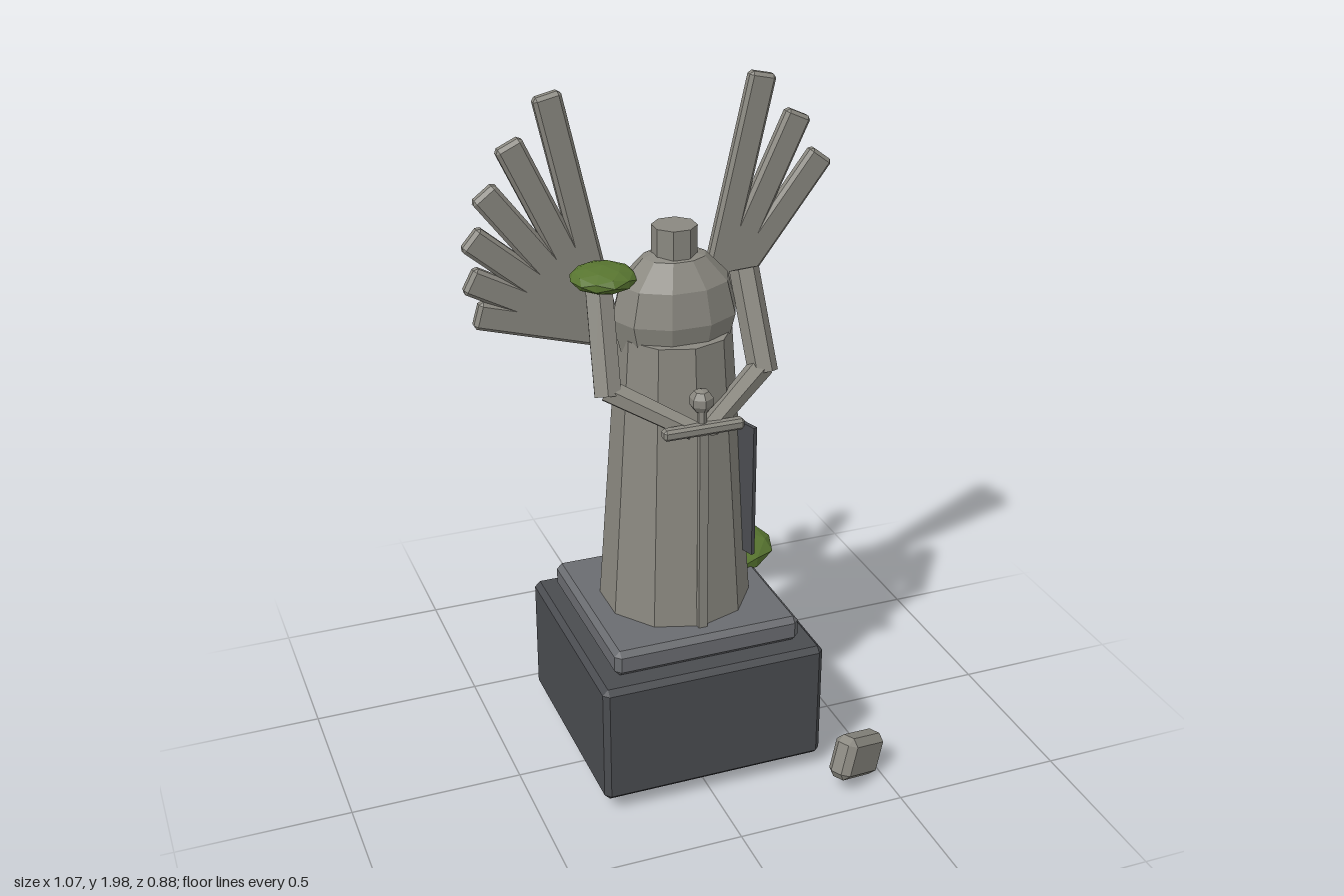
import * as THREE from 'three';
import { ConvexGeometry } from 'three/addons/geometries/ConvexGeometry.js';

const CX = 0.014, CZ = -0.065; // axis of the statue

const mat = (color) => new THREE.MeshStandardMaterial({ color, flatShading: true });
const stone = mat(0x8a8880), plinthStone = mat(0x6a6c70), darkStone = mat(0x4a4c50), mossGreen = mat(0x587530);

// Box with chamfered edges and corners
function chamferBox(w, h, d, c) {
  const pts = [];
  for (const x of [-1, 1]) for (const y of [-1, 1]) for (const z of [-1, 1]) {
    const X = w / 2, Y = h / 2, Z = d / 2;
    pts.push(new THREE.Vector3(x * X, y * (Y - c), z * (Z - c)));
    pts.push(new THREE.Vector3(x * (X - c), y * Y, z * (Z - c)));
    pts.push(new THREE.Vector3(x * (X - c), y * (Y - c), z * Z));
  }
  return new ConvexGeometry(pts);
}

export function createModel() {
  const group = new THREE.Group();

  function add(name, geometry, material, x, y, z, parent = group) {
    const mesh = new THREE.Mesh(geometry, material);
    mesh.name = name;
    mesh.position.set(x, y, z);
    parent.add(mesh);
    return mesh;
  }

  // Six-sided limb between two points
  function limb(name, a, b, r0, r1) {
    const from = new THREE.Vector3(...a), to = new THREE.Vector3(...b);
    const dir = to.clone().sub(from);
    const mid = from.clone().add(to).multiplyScalar(0.5);
    const mesh = add(name, new THREE.CylinderGeometry(r1, r0, dir.length(), 6), stone, mid.x, mid.y, mid.z);
    mesh.quaternion.setFromUnitVectors(new THREE.Vector3(0, 1, 0), dir.normalize());
  }

  // Pedestal
  add('pedestal', chamferBox(0.67, 0.37, 0.67, 0.016), darkStone, CX, 0.23, CZ);
  add('plinth', chamferBox(0.56, 0.078, 0.56, 0.016), plinthStone, CX, 0.457, CZ);

  // Robe, torso and broken neck
  add('robe', new THREE.CylinderGeometry(0.16, 0.22, 0.835, 10), stone, CX, 0.9125, CZ);
  const torso = add('torso', new THREE.SphereGeometry(1, 10, 6), stone, CX, 1.38, CZ);
  torso.scale.set(0.182, 0.19, 0.14);
  const neck = add('neck', new THREE.CylinderGeometry(0.063, 0.063, 0.1, 8), stone, CX, 1.58, CZ);
  neck.rotation.y = Math.PI / 8;

  // Arms folded toward the sword
  for (const [side, s] of [['left', 1], ['right', -1]]) {
    const elbow = [CX + s * 0.228, 1.2, 0.03];
    limb(side + 'UpperArm', [CX + s * 0.212, 1.47, -0.08], elbow, 0.042, 0.042);
    limb(side + 'Forearm', [CX + s * 0.228, 1.215, 0.02], [CX + s * 0.022, 1.11, 0.138], 0.035, 0.03);
  }

  // Sword standing point down
  const sword = new THREE.Group();
  sword.name = 'sword';
  sword.position.set(CX, 0, 0.155);
  group.add(sword);
  add('blade', new THREE.BoxGeometry(0.026, 0.62, 0.018), stone, 0, 0.805, 0, sword);
  add('guard', chamferBox(0.235, 0.032, 0.034, 0.008), stone, 0, 1.12, 0, sword);
  add('grip', new THREE.CylinderGeometry(0.014, 0.014, 0.08, 6), stone, 0, 1.155, -0.01, sword);
  add('pommel', new THREE.SphereGeometry(0.035, 6, 5), stone, 0, 1.197, -0.016, sword).rotation.y = Math.PI / 6;

  // Wings: feathers fanned from a root; the left wing has lost its lower ones
  const lengths = [0.715, 0.635, 0.565, 0.505, 0.445, 0.39];
  for (const [side, s, count] of [['left', 1, 3], ['right', -1, 6]]) {
    const wing = new THREE.Group();
    wing.name = side + 'Wing';
    wing.position.set(CX + s * 0.15, 1.285, -0.2);
    group.add(wing);
    for (let i = 0; i < count; i++) {
      const geo = chamferBox(0.08, lengths[i] + 0.025, 0.037, 0.01);
      geo.translate(0, lengths[i] / 2 - 0.0125, 0);
      add('feather', geo, stone, 0, 0, 0, wing).rotation.z = -s * THREE.MathUtils.degToRad(12.8 + 12.2 * i);
    }
  }

  // Crack on the robe's left side
  add('crack', new THREE.BoxGeometry(0.012, 0.405, 0.085), darkStone, 0.193, 0.848, 0.028).rotation.y = 0.3;

  // Moss patches
  const mossShape = new THREE.IcosahedronGeometry(1, 1);
  add('shoulderMoss', mossShape, mossGreen, -0.183, 1.498, -0.085).scale.set(0.093, 0.035, 0.097);
  add('plinthMoss', mossShape, mossGreen, 0.2, 0.5, -0.26).scale.set(0.203, 0.048, 0.178);

  // Fallen fragment on the ground
  add('rubble', chamferBox(0.18, 0.13, 0.075, 0.02), stone, 0.418, 0.09, 0.368).rotation.set(0, 0.5, -0.36);

  return group;
}
